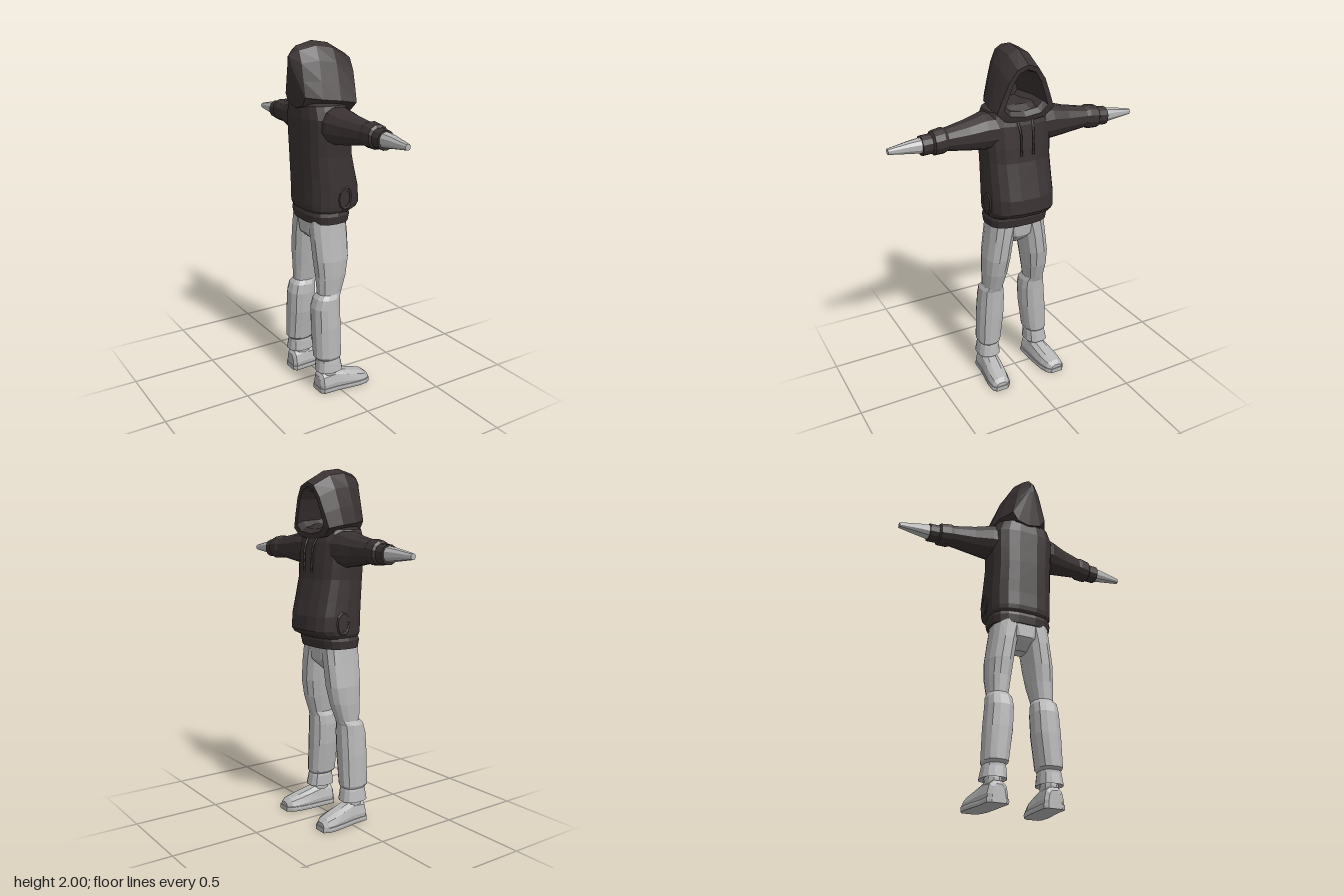
import * as THREE from 'three';

const dark = new THREE.MeshStandardMaterial({ color: 0x3a3232 });
dark.name = 'charcoal cloth';
const grey = new THREE.MeshStandardMaterial({ color: 0xb6b6b6 });
grey.name = 'light grey';

const V = (x, y, z) => new THREE.Vector3(x, y, z);

// Faceted closed skin through rings of equal length, always facing outward
function loft(name, rings, material) {
  const tris = [];
  const n = rings[0].length;
  for (let i = 0; i < rings.length - 1; i++) {
    for (let j = 0; j < n; j++) {
      const k = (j + 1) % n;
      const [a, b, c, d] = [rings[i][j], rings[i][k], rings[i + 1][k], rings[i + 1][j]];
      tris.push([a, b, c], [a, c, d]);
    }
  }
  const cap = (ring, flip) => {
    const mid = ring.reduce((s, p) => s.add(p), V(0, 0, 0)).divideScalar(n);
    ring.forEach((p, j) => {
      const q = ring[(j + 1) % n];
      tris.push(flip ? [mid, q, p] : [mid, p, q]);
    });
  };
  cap(rings[0], true);
  cap(rings[rings.length - 1], false);
  const volume = tris.reduce((s, [a, b, c]) => s + a.dot(b.clone().cross(c)), 0);
  const points = tris.flatMap(([a, b, c]) => (volume < 0 ? [a, c, b] : [a, b, c]));
  const geometry = new THREE.BufferGeometry().setFromPoints(points);
  geometry.computeVertexNormals();
  const mesh = new THREE.Mesh(geometry, material);
  mesh.name = name;
  return mesh;
}

// Rounded-box outline: pairs of (cos, sin) raised to a power below one
function outline(n, power) {
  const soft = v => Math.sign(v) * Math.abs(v) ** power;
  return Array.from({ length: n }, (_, i) => {
    const a = (i + 0.5) / n * Math.PI * 2;
    return [soft(Math.cos(a)), soft(Math.sin(a))];
  });
}

// Horizontal ring from x and z limits
const flatRing = ([y, x0, x1, z0, z1], s, n, power) => outline(n, power).map(([u, v]) =>
  V((x0 + x1) / 2 + u * (x1 - x0) / 2, y, s * ((z0 + z1) / 2 + v * (z1 - z0) / 2)));

// Upright ring across an arm
const armRing = ([z, y, ry, x, rx], s, n) => outline(n, 0.9).map(([u, v]) => V(x + u * rx, y + v * ry, s * z));

// Mirrored half outline given as (width, height) pairs
const mirrored = half => [...half, ...half.slice().reverse().filter(p => p[0] > 0).map(([u, v]) => [-u, v])];

// Pointed hood outline; the lower edge may lie at a different x
const hoodShape = mirrored([[0, 1], [0.36, 0.93], [0.62, 0.73], [0.83, 0.45], [1, 0.2], [0.7, 0.05], [0, 0]]);
const hoodRing = ([xTop, xLow, top, low, w]) => hoodShape.map(([u, v]) =>
  V(xLow + (xTop - xLow) * v, low + (top - low) * v, u * w));

// Shoe outline and stations: x, height, half width, centre z
const shoeShape = mirrored([[0.4, 1], [0.8, 0.8], [1, 0.35], [0.95, 0]]);
const shoeStations = [
  [-0.12, 0.095, 0.038, 0.16], [-0.105, 0.115, 0.058, 0.161], [-0.02, 0.125, 0.058, 0.165],
  [0.05, 0.105, 0.062, 0.172], [0.12, 0.085, 0.063, 0.18], [0.17, 0.07, 0.055, 0.186], [0.195, 0.05, 0.035, 0.19],
];

function addSide(group, s, prefix) {
  // Trouser leg, with a bulge under the knee and a cuff at the hem
  const leg = [
    [1.03, -0.12, 0.1, 0, 0.165], [0.92, -0.12, 0.1, 0.03, 0.178], [0.8, -0.115, 0.095, 0.048, 0.195],
    [0.7, -0.105, 0.075, 0.063, 0.197], [0.6, -0.1, 0.04, 0.08, 0.192], [0.575, -0.122, 0.03, 0.066, 0.207],
    [0.52, -0.138, 0.03, 0.06, 0.212], [0.4, -0.14, 0.03, 0.065, 0.222], [0.22, -0.138, 0.028, 0.09, 0.228],
    [0.205, -0.122, 0.018, 0.103, 0.22], [0.19, -0.122, 0.022, 0.1, 0.224], [0.13, -0.13, 0.033, 0.095, 0.235],
    [0.14, -0.1, 0.0, 0.12, 0.21],
  ];
  group.add(loft(prefix + 'TrouserLeg', leg.map(r => flatRing(r, s, 12, 0.8)), grey));

  const ankle = [[0.17, -0.095, -0.01, 0.12, 0.205], [0.13, -0.1, 0.005, 0.118, 0.21], [0.08, -0.1, 0.02, 0.118, 0.21]];
  group.add(loft(prefix + 'Ankle', ankle.map(r => flatRing(r, s, 10, 0.9)), grey));

  // Shoe upper and its slightly wider sole
  const upper = shoeStations.map(([x, h, w, z]) => shoeShape.map(([u, v]) => V(x, 0.012 + v * (h - 0.012), s * (z + u * w))));
  group.add(loft(prefix + 'Shoe', upper, grey));
  const soleShape = mirrored([[0.97, 1], [1, 0.5], [0.95, 0]]);
  const sole = shoeStations.map(([x, , w, z]) => soleShape.map(([u, v]) =>
    V(x * 1.025, v * 0.027, s * (z + u * w * 1.09))));
  group.add(loft(prefix + 'Sole', sole, grey));

  // Sleeve with ribbed cuff
  const sleeve = [
    [0.08, 1.565, 0.1, -0.005, 0.11], [0.2, 1.565, 0.1, -0.002, 0.1], [0.3, 1.56, 0.08, 0.01, 0.078],
    [0.42, 1.56, 0.06, 0.023, 0.06], [0.44, 1.56, 0.068, 0.027, 0.065], [0.495, 1.555, 0.064, 0.03, 0.062],
    [0.505, 1.553, 0.052, 0.03, 0.05], [0.56, 1.55, 0.052, 0.03, 0.05],
  ];
  group.add(loft(prefix + 'Sleeve', sleeve.map(r => armRing(r, s, 12)), dark));

  // Plain tapered hand
  const hand = [[0.54, 1.552, 0.044, 0.03, 0.043], [0.62, 1.552, 0.034, 0.03, 0.033], [0.735, 1.548, 0.016, 0.03, 0.016]];
  group.add(loft(prefix + 'Hand', hand.map(r => armRing(r, s, 10)), grey));

  // Rim of the side pocket opening
  const rim = new THREE.Mesh(new THREE.TorusGeometry(0.038, 0.008, 5, 10).toNonIndexed(), dark);
  rim.geometry.computeVertexNormals();
  rim.scale.y = 1.5;
  rim.position.set(0.04, 1.16, s * 0.19);
  rim.name = prefix + 'PocketRim';
  group.add(rim);

  // Drawstring hanging below the hood
  const path = new THREE.CatmullRomCurve3([V(0.11, 1.63, s * 0.045), V(0.137, 1.57, s * 0.038), V(0.143, 1.44, s * 0.035)]);
  const string = new THREE.Mesh(new THREE.TubeGeometry(path, 5, 0.006, 5), dark);
  string.name = prefix + 'Drawstring';
  group.add(string);
}

export function createModel() {
  const group = new THREE.Group();
  group.name = 'hoodedFigure';

  // Hoodie body: y, back x, front x, half width
  const body = [
    [1.7, -0.12, 0.06, 0.1], [1.67, -0.15, 0.1, 0.17], [1.6, -0.156, 0.12, 0.2], [1.48, -0.152, 0.133, 0.197],
    [1.4, -0.15, 0.14, 0.192], [1.28, -0.145, 0.168, 0.194], [1.2, -0.142, 0.188, 0.196], [1.12, -0.142, 0.192, 0.194],
    [1.095, -0.138, 0.175, 0.19], [1.07, -0.12, 0.12, 0.175],
  ];
  const symmetric = (rows, n) => rows.map(([y, x0, x1, w]) => flatRing([y, x0, x1, -w, w], 1, n, 0.72));
  group.add(loft('hoodieBody', symmetric(body, 18), dark));
  const hem = [[1.085, -0.125, 0.125, 0.178], [1.06, -0.133, 0.128, 0.186], [1.015, -0.126, 0.118, 0.18], [1.015, -0.11, 0.1, 0.16]];
  group.add(loft('hoodieHem', symmetric(hem, 18), dark));

  // Hood: back point to front rim, then folding into the hollow
  const hood = [
    [-0.2, -0.195, 1.925, 1.87, 0.015], [-0.155, -0.16, 1.975, 1.65, 0.105], [-0.06, -0.08, 2.0, 1.63, 0.15],
    [0.04, 0.02, 1.985, 1.62, 0.168], [0.15, 0.115, 1.925, 1.615, 0.17],
    [0.145, 0.125, 1.9, 1.645, 0.13], [0.1, 0.1, 1.89, 1.67, 0.115], [0.0, 0.0, 1.89, 1.68, 0.11], [-0.1, -0.1, 1.86, 1.7, 0.07],
  ];
  group.add(loft('hood', hood.map(hoodRing), dark));

  // Trouser seat joining the legs
  const seat = [[1.03, -0.12, 0.1, 0.16], [0.94, -0.118, 0.095, 0.1], [0.92, -0.1, 0.08, 0.06], [0.88, -0.05, 0.03, 0.045]];
  group.add(loft('trouserSeat', symmetric(seat, 12), grey));

  addSide(group, 1, 'right');
  addSide(group, -1, 'left');
  return group;
}
